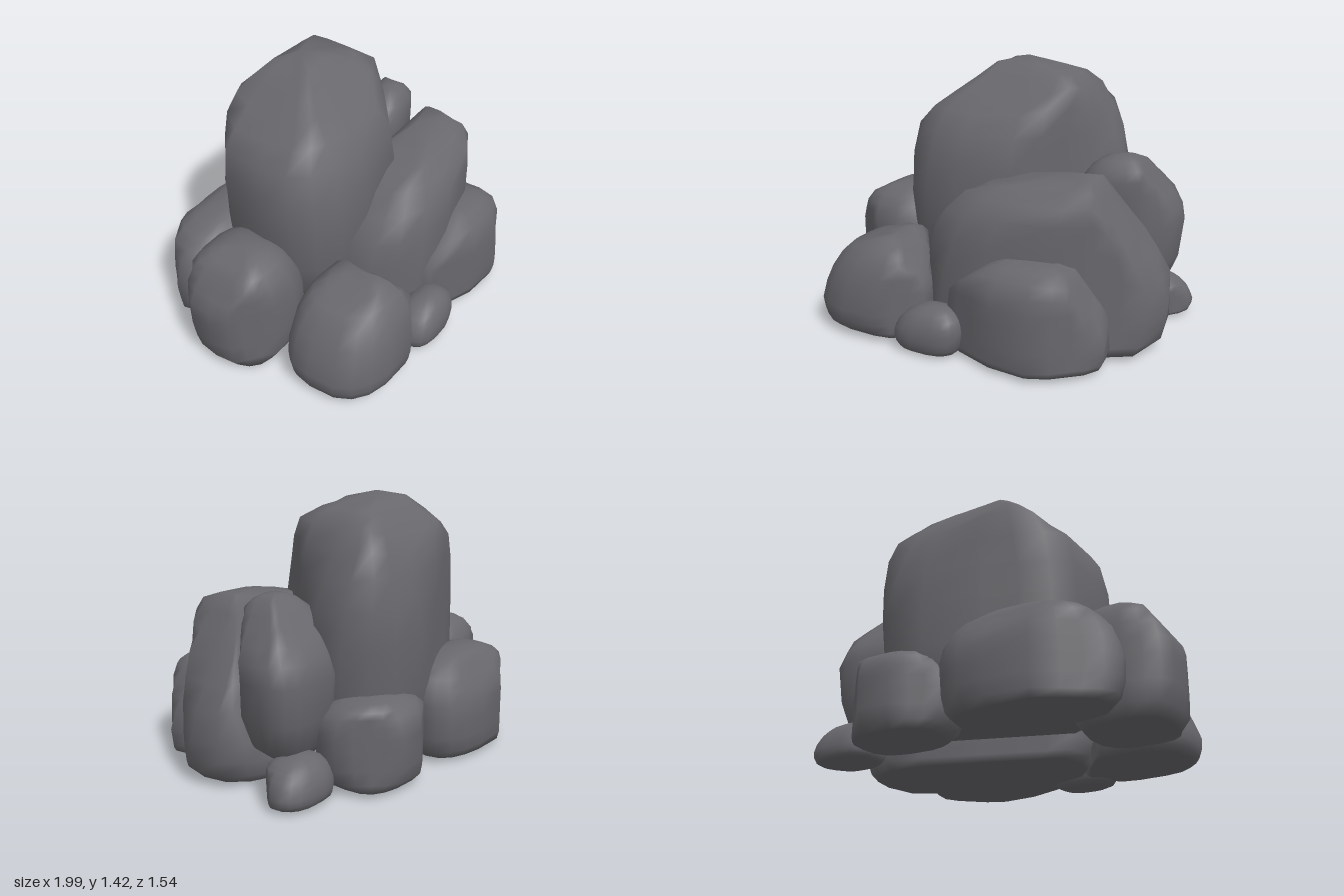
import * as THREE from 'three';

const SIDES = 18;

// Rounds a sine or cosine towards a squarer outline
const square = v => Math.sign(v) * Math.abs(v) ** 0.75;

// Small seeded generator (0 to 1) for the uneven stone surface
function seeded(seed) {
  let s = seed;
  return () => {
    s = (s * 16807) % 2147483647;
    return s / 2147483647;
  };
}

/* A stone made of stacked rings, then chipped flat.
   x, z: widest bounds; y: bottom, widest level, top; apex: [x, z] of the summit;
   tilt: slant of the plan; crown: squareness of the top; foot: width left at the bottom;
   cuts: planes [nx, ny, nz, d] beyond which the stone is chipped away */
function rockGeometry({ x, y, z, apex, tilt = 0, crown = 2.6, foot = 0.84, cuts = [] }, rand) {
  const [low, belly, high] = y;
  const cx = (x[0] + x[1]) / 2, cz = (z[0] + z[1]) / 2;
  const hx = (x[1] - x[0]) / 2, hz = (z[1] - z[0]) / 2;

  // Rings as height, width and lean towards the summit
  const rings = [];
  for (const t of [0, 0.2, 0.55]) {
    const width = foot + (1 - foot) * Math.sqrt(1 - (1 - t) ** 2);
    rings.push({ h: low + (belly - low) * t, width, lean: 0 });
  }
  for (const u of [0, 0.25, 0.48, 0.67, 0.82, 0.93, 0.985]) {
    const width = (1 - u ** crown) ** (1 / crown);
    rings.push({ h: belly + (high - belly) * u, width, lean: u });
  }

  const points = [];
  rings.forEach(({ h, width, lean }) => {
    const mx = cx + (apex[0] - cx) * lean, mz = cz + (apex[1] - cz) * lean;
    for (let i = 0; i < SIDES; i++) {
      const a = (i / SIDES) * Math.PI * 2;
      const r = width * (0.98 + 0.025 * rand());
      points.push(new THREE.Vector3(mx + hx * r * square(Math.cos(a)), h, mz + hz * r * square(Math.sin(a + tilt))));
    }
  });
  const bottom = points.length, top = bottom + 1;
  points.push(new THREE.Vector3(cx, low, cz), new THREE.Vector3(apex[0], high, apex[1]));

  // Chip the stone: move outlying points back onto each plane
  for (let pass = 0; pass < 3; pass++) {
    for (const [nx, ny, nz, d] of cuts) {
      const n = new THREE.Vector3(nx, ny, nz);
      for (const p of points) {
        const over = p.dot(n) - d;
        if (over > 0) p.addScaledVector(n, -over / n.lengthSq());
      }
    }
  }

  const index = [];
  const last = (rings.length - 1) * SIDES;
  for (let i = 0; i < SIDES; i++) {
    const j = (i + 1) % SIDES;
    for (let k = 0; k < last; k += SIDES) {
      const a = k + i, b = k + j;
      index.push(a, a + SIDES, b, b, a + SIDES, b + SIDES);
    }
    index.push(bottom, i, j, top, last + j, last + i);
  }
  const geo = new THREE.BufferGeometry().setFromPoints(points);
  geo.setIndex(index);
  geo.computeVertexNormals();
  return geo;
}

export function createModel() {
  const group = new THREE.Group();
  group.name = 'rockPile';
  const stone = new THREE.MeshStandardMaterial({ color: 0x68676c });
  stone.name = 'darkGreyStone';
  const rand = seeded(4711);

  const addRock = (name, shape) => {
    const mesh = new THREE.Mesh(rockGeometry(shape, rand), stone);
    mesh.name = name;
    group.add(mesh);
  };

  // Large boulders
  addRock('mainBoulder', {
    x: [-0.58, 0.58], y: [0.16, 0.7, 1.43], z: [-0.66, 0.295], apex: [0.02, -0.26], tilt: -0.15, crown: 2.8, foot: 0.75,
    cuts: [[0.5, 0, 0.38, 0.172], [-0.25, 0, -0.67, 0.4], [-0.31, 0.36, 0, 0.538], [0, 0.27, 0.25, 0.344],
      [0.28, 0.14, 0, 0.287], [0.1, 0.36, 0, 0.515], [0, 0.19, -0.21, 0.34], [0, 0.11, -0.34, 0.315]],
  });
  addRock('frontSlab', {
    x: [-0.35, 1], y: [0.03, 0.25, 0.95], z: [-0.22, 0.6], apex: [0.44, 0.2], tilt: -0.1, crown: 3, foot: 0.88,
    cuts: [[-0.28, 0.3, 0, 0.249], [-0.11, 0.57, 0, 0.473], [0.25, 0.15, 0, 0.298], [0, 0.18, 0.14, 0.212],
      [0, 0.25, 0.06, 0.245], [0, 0.15, -0.45, 0.098], [0, 0.17, -0.35, 0.103], [0.33, 0, 0.53, 0.445],
      [-0.24, 0, 0.19, 0.135], [-0.22, 0, -0.65, -0.023]],
  });
  addRock('tallLeftRock', {
    x: [0.38, 0.94], y: [0.15, 0.58, 0.965], z: [-0.45, 0.015], apex: [0.65, -0.12], tilt: -0.2, crown: 2.2, foot: 0.3,
    cuts: [[0.28, 0.18, 0, 0.378], [0, 0.17, -0.2, 0.2], [0.13, 0, 0.19, 0.094]],
  });

  // Ring of low rocks
  addRock('frontLeftRock', {
    x: [-0.04, 0.81], y: [0.03, 0.16, 0.55], z: [0.25, 0.77], apex: [0.4, 0.49], crown: 3, foot: 0.92,
    cuts: [[0.43, 0.25, 0, 0.395], [-0.18, 0.25, 0, 0.09], [0.24, 0, 0.28, 0.34], [-0.14, 0, 0.37, 0.23]],
  });
  addRock('frontRightRock', {
    x: [-0.85, -0.14], y: [0.03, 0.16, 0.56], z: [0.17, 0.75], apex: [-0.4, 0.43], tilt: 0.1,
    cuts: [[-0.17, 0.13, 0, 0.175], [-0.085, 0.29, 0, 0.193], [0.235, 0.21, 0, 0.027],
      [0.35, 0, -0.25, -0.185], [0.19, 0, 0.2, 0.078]],
  });
  addRock('rightRock', {
    x: [-1, -0.42], y: [0.02, 0.32, 0.66], z: [-0.39, 0.185], apex: [-0.7, -0.12], foot: 0.76,
    cuts: [[-0.15, 0.1, 0, 0.189], [-0.06, 0.15, 0, 0.142], [-0.11, 0, -0.28, 0.186], [-0.205, 0, 0.28, 0.199]],
  });
  addRock('backRightRock', {
    x: [-0.84, 0.05], y: [0.03, 0.25, 0.57], z: [-0.775, -0.3], apex: [-0.36, -0.52], tilt: -0.1,
    cuts: [[-0.22, 0, -0.34, 0.362], [0, 0.07, -0.11, 0.109]],
  });
  addRock('backLeftRock', {
    x: [0.03, 0.67], y: [0.03, 0.24, 0.48], z: [-0.765, -0.27], apex: [0.39, -0.53], foot: 0.75,
    cuts: [[0.22, 0, -0.21, 0.257], [-0.165, 0, -0.27, 0.155]],
  });

  // Pebbles
  addRock('frontPebble', {
    x: [-0.3, 0.09], y: [0.005, 0.09, 0.26], z: [0.5, 0.77], apex: [-0.06, 0.64], crown: 2.2, foot: 0.6,
  });
  addRock('leftPebble', {
    x: [0.6, 0.98], y: [0.02, 0.08, 0.24], z: [-0.53, -0.23], apex: [0.76, -0.37], crown: 2.2,
    cuts: [[0.12, 0, 0.1, 0.078]],
  });
  return group;
}
